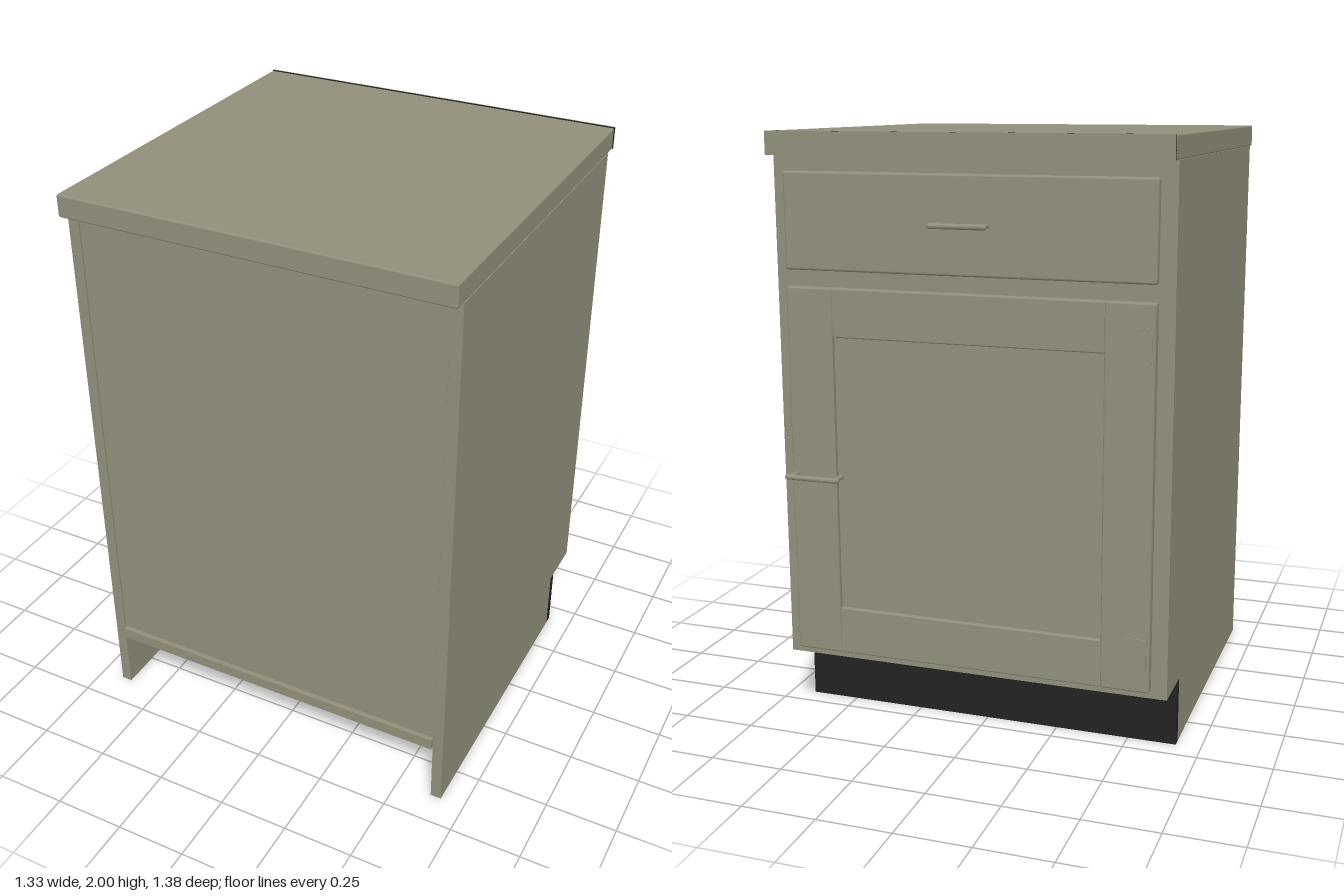
import * as THREE from 'three';
import { RoundedBoxGeometry } from 'three/addons/geometries/RoundedBoxGeometry.js';

export function createModel() {
  const cabinet = new THREE.Group();
  cabinet.name = 'baseCabinet';

  const olive = new THREE.MeshStandardMaterial({ color: 0x918f7a });
  olive.name = 'olive paint';
  const black = new THREE.MeshStandardMaterial({ color: 0x222222 });
  black.name = 'black trim';

  const add = (name, geometry, material, parent = cabinet) => {
    const mesh = new THREE.Mesh(geometry, material);
    mesh.name = name;
    parent.add(mesh);
    return mesh;
  };
  // Box given by its limits; a radius rounds its edges
  const box = (name, [x0, x1], [y0, y1], [z0, z1], material = olive, radius = 0) => {
    const size = [x1 - x0, y1 - y0, z1 - z0];
    const geometry = radius ? new RoundedBoxGeometry(...size, 2, radius) : new THREE.BoxGeometry(...size);
    geometry.translate((x0 + x1) / 2, (y0 + y1) / 2, (z0 + z1) / 2);
    return add(name, geometry, material);
  };

  // Worktop with its banded edge
  box('worktop', [-0.665, 0.665], [1.925, 2], [-0.63, 0.685], olive, 0.006);
  box('worktopEdgeCore', [-0.665, 0.665], [1.925, 2], [-0.637, -0.63], black);
  box('worktopEdgeBand', [-0.665, 0.665], [1.925, 2], [-0.641, -0.637]);

  // Side panels, notched for the toe space (shape drawn in z, y)
  const profile = new THREE.Shape([
    [0.64, 0], [0.64, 1.925], [-0.545, 1.925], [-0.545, 0.225], [-0.4, 0.225], [-0.4, 0],
  ].map(([z, y]) => new THREE.Vector2(-z, y)));
  for (const x of [-0.665, 0.627]) {
    const geometry = new THREE.ExtrudeGeometry(profile, { depth: 0.038, bevelEnabled: false });
    geometry.rotateY(Math.PI / 2).translate(x, 0, 0);
    add(x > 0 ? 'leftSide' : 'rightSide', geometry, olive);
  }

  // Carcass
  box('backPanel', [-0.625, 0.625], [0.27, 1.925], [0.615, 0.636]);
  box('bottomPanel', [-0.625, 0.625], [0.227, 0.267], [-0.545, 0.65]);
  box('toeKick', [-0.665, 0.665], [0, 0.222], [-0.43, -0.4], black);

  // Face frame
  for (const s of [-1, 1]) {
    box('frameStile', [Math.min(s * 0.58, s * 0.665), Math.max(s * 0.58, s * 0.665)], [0.225, 1.925], [-0.585, -0.545]);
  }
  for (const [y0, y1] of [[0.225, 0.29], [1.48, 1.59], [1.85, 1.925]]) {
    box('frameRail', [-0.58, 0.58], [y0, y1], [-0.585, -0.545]);
  }

  // Drawer front
  box('drawerSeal', [-0.61, 0.61], [1.565, 1.87], [-0.591, -0.585], black);
  box('drawerFront', [-0.615, 0.615], [1.56, 1.875], [-0.627, -0.591], olive, 0.008);

  // Door: stiles, rails and a recessed panel
  box('doorSeal', [-0.61, 0.61], [0.265, 1.5], [-0.591, -0.585], black);
  for (const s of [-1, 1]) {
    box('doorStile', [Math.min(s * 0.455, s * 0.615), Math.max(s * 0.455, s * 0.615)], [0.26, 1.505], [-0.63, -0.591], olive, 0.006);
  }
  for (const [y0, y1] of [[0.26, 0.42], [1.345, 1.505]]) {
    box('doorRail', [-0.457, 0.457], [y0, y1], [-0.628, -0.591], olive, 0.005);
  }
  box('doorPanel', [-0.46, 0.46], [0.41, 1.355], [-0.613, -0.595]);

  // Hinge plates
  for (const y of [0.385, 1.375]) {
    box('hingePlate', [-0.605, -0.535], [y - 0.055, y + 0.055], [-0.634, -0.629]);
  }

  // Bar handles
  const addHandle = (name, x, y) => {
    const handle = new THREE.Group();
    handle.name = name;
    handle.position.set(x, y, 0);
    cabinet.add(handle);
    const bar = new THREE.CapsuleGeometry(0.009, 0.178, 4, 12);
    bar.rotateZ(Math.PI / 2).translate(0, 0, -0.681);
    add('handleBar', bar, olive, handle);
    for (const s of [-1, 1]) {
      const post = new THREE.CylinderGeometry(0.008, 0.008, 0.055, 12);
      post.rotateX(Math.PI / 2).translate(s * 0.08, 0, -0.652);
      add('handlePost', post, olive, handle);
    }
  };
  addHandle('drawerHandle', 0, 1.72);
  addHandle('doorHandle', 0.518, 0.88);

  return cabinet;
}
